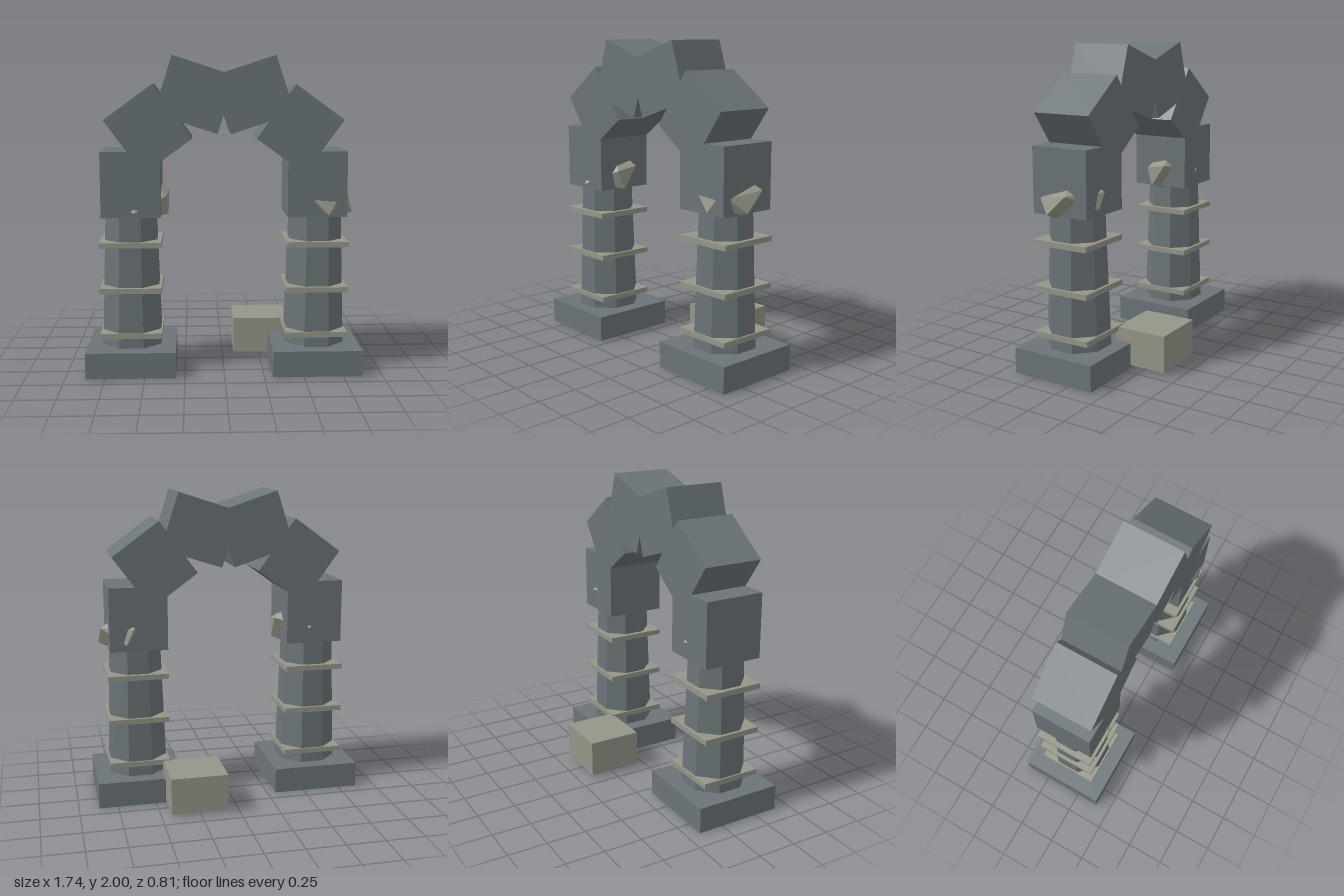
import * as THREE from 'three';
import { ConvexGeometry } from 'three/addons/geometries/ConvexGeometry.js';

export function createModel() {
  const model = new THREE.Group();
  model.name = 'stoneArch';
  const mat = (name, color) => {
    const m = new THREE.MeshStandardMaterial({ color });
    m.name = name;
    return m;
  };
  const stone = mat('slateStone', 0x6b7477);
  const trim = mat('paleStone', 0x949688);
  const Z = 0.12; // depth centre of the arch

  const add = (parent, name, geometry, material, x, y, z) => {
    const mesh = new THREE.Mesh(geometry, material);
    mesh.name = name;
    mesh.position.set(x, y, z);
    parent.add(mesh);
    return mesh;
  };

  // Pillars: square plinth, tapered octagonal shaft, three square bands
  const plinthGeo = new THREE.BoxGeometry(0.566, 0.165, 0.566);
  const shaftGeo = new THREE.CylinderGeometry(0.173, 0.2035, 0.87, 8).rotateY(Math.PI / 8).toNonIndexed();
  shaftGeo.computeVertexNormals();
  const bandGeo = new THREE.BoxGeometry(0.39, 0.034, 0.39);
  for (const side of [-1, 1]) {
    const pillar = new THREE.Group();
    pillar.name = side > 0 ? 'leftPillar' : 'rightPillar';
    pillar.position.set(side * 0.588, 0, Z);
    model.add(pillar);
    add(pillar, 'plinth', plinthGeo, stone, 0, 0.0825, 0);
    add(pillar, 'shaft', shaftGeo, stone, 0, 0.59, 0);
    for (const y of [0.247, 0.539, 0.83]) add(pillar, 'band', bandGeo, trim, 0, y, 0);
  }

  // Arch blocks spaced along a half circle, each turned against the curve
  const blockGeo = new THREE.BoxGeometry(0.37, 0.41, 0.39);
  for (let i = 0; i < 6; i++) {
    const a = (i * Math.PI) / 5;
    const block = add(model, 'archBlock', blockGeo, stone, 0.58 * Math.cos(a), 1.21 + 0.58 * Math.sin(a), Z);
    block.rotation.z = -a;
  }

  // Rough rocks lodged in the lowest arch blocks
  const rock = (name, points) => {
    const geo = new ConvexGeometry(points.map((p) => new THREE.Vector3(...p)));
    add(model, name, geo, trim, 0, 0, 0);
  };
  rock('leftRock', [
    [0.82, 1.02, 0.175], [0.81, 1.14, 0.045], [0.76, 1.11, 0.27], [0.65, 1.02, 0.337],
    [0.56, 1.11, 0.316], [0.70, 1.10, 0.316], [0.615, 1.15, -0.1], [0.66, 1.05, -0.09],
    [0.74, 0.985, 0.18], [0.57, 0.985, 0.2], [0.66, 0.985, 0.02], [0.42, 1.1, 0.12], [0.6, 1.28, 0.12],
  ]);
  rock('rightRock', [
    [-0.345, 1.155, 0.06], [-0.35, 1.01, 0.16], [-0.36, 1.13, 0.2], [-0.56, 1.035, 0.335],
    [-0.55, 1.11, -0.09], [-0.42, 0.985, 0.1], [-0.54, 0.985, 0.18], [-0.5, 0.99, 0.02],
    [-0.75, 1.1, 0.12], [-0.56, 1.3, 0.12],
  ]);

  // Loose block behind the left pillar
  add(model, 'looseBlock', new THREE.BoxGeometry(0.364, 0.235, 0.345), trim, 0.257, 0.1375, -0.2325);

  return model;
}
